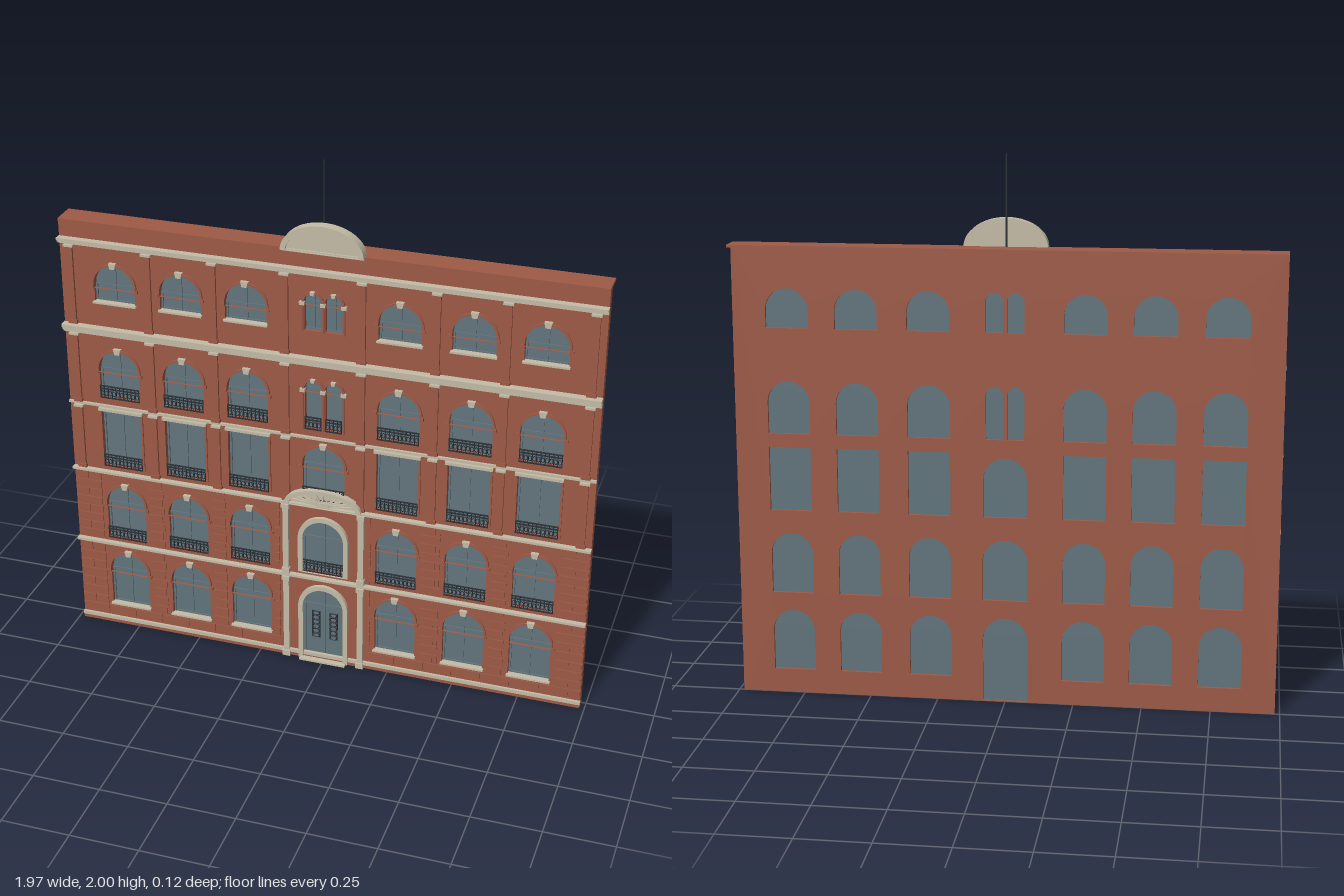
import * as THREE from 'three';
import { mergeGeometries } from 'three/addons/utils/BufferGeometryUtils.js';

const mat = (name, color) => {
  const m = new THREE.MeshStandardMaterial({ color });
  m.name = name;
  return m;
};

export function createModel() {
  const brick = mat('brick', 0x9e5a46), stone = mat('stone', 0xc4bca6);
  const glass = mat('glass', 0x62757d), iron = mat('iron', 0x2a3036);
  const model = new THREE.Group();
  const F = 0.03; // front face of the wall

  const add = (name, geo, material) => {
    const m = new THREE.Mesh(geo, material);
    m.name = name;
    model.add(m);
    return m;
  };
  // box from its x centre, width and y / z limits
  const box = (x, w, y0, y1, z0, z1) =>
    new THREE.BoxGeometry(w, y1 - y0, z1 - z0).translate(x, (y0 + y1) / 2, (z0 + z1) / 2);
  const extrude = (shape, z0, z1) =>
    new THREE.ExtrudeGeometry(shape, { depth: z1 - z0, bevelEnabled: false, curveSegments: 14 }).translate(0, 0, z0);
  // window outline, round-headed or square
  const outline = (Type, { x, w, y0, y1, arch }, g = 0) => {
    const s = new Type(), h = w / 2 + g;
    s.moveTo(x - h, y0);
    s.lineTo(x + h, y0);
    if (arch) {
      s.lineTo(x + h, y1 - w / 2);
      s.absarc(x, y1 - w / 2, h, 0, Math.PI, false);
    } else {
      s.lineTo(x + h, y1 + g);
      s.lineTo(x - h, y1 + g);
    }
    s.closePath();
    return s;
  };
  const halfEllipse = (Type, y, rx, ry) => {
    const s = new Type();
    s.moveTo(-rx, y);
    s.lineTo(rx, y);
    s.absellipse(0, y, rx, ry, 0, Math.PI, false, 0);
    s.closePath();
    return s;
  };

  // Window layout: five storeys, six side columns and a central bay
  const columns = [-0.78, -0.53, -0.285, 0.275, 0.535, 0.785];
  const rows = [
    { y0: 0.09, y1: 0.32, arch: true, sill: true },
    { y0: 0.387, y1: 0.615, arch: true, rail: true },
    { y0: 0.7, y1: 0.937, arch: false, rail: true },
    { y0: 0.987, y1: 1.18, arch: true, rail: true },
    { y0: 1.374, y1: 1.517, arch: true, sill: true },
  ];
  const windows = [];
  for (const r of rows) for (const x of columns) windows.push({ ...r, x, w: 0.154 });
  windows.push({ x: 0, w: 0.164, y0: 0.002, y1: 0.32, arch: true, grand: true, door: true });
  windows.push({ x: 0, w: 0.164, y0: 0.387, y1: 0.615, arch: true, grand: true, rail: true });
  windows.push({ x: 0, w: 0.158, y0: 0.7, y1: 0.92, arch: true, rail: true });
  for (const r of [rows[3], rows[4]]) for (const s of [-1, 1])
    windows.push({ x: s * 0.038, w: 0.062, y0: r.y0, y1: r.y1, arch: true, twin: true, rail: r.rail });

  // Wall with window openings, and the roof edge behind it
  const wall = new THREE.Shape([[-0.982, 0], [0.982, 0], [0.982, 1.672], [-0.982, 1.672]].map(p => new THREE.Vector2(...p)));
  for (const w of windows) wall.holes.push(outline(THREE.Path, w));
  add('wall', extrude(wall, -0.003, F), brick);
  add('roofEdge', box(0, 1.964, 1.667, 1.677, -0.06, 0.034), brick);

  // Wrought iron balcony railing
  const railing = ({ x, w, y0 }) => {
    const parts = [0, 0.036, 0.047].map(d => box(x, w, y0 + d, y0 + d + 0.004, 0.033, 0.038));
    const n = Math.round(w / 0.0155);
    for (let i = 0; i <= n; i++) {
      const bx = x - w / 2 + 0.002 + (w - 0.004) * i / n;
      parts.push(box(bx, 0.003, y0, y0 + 0.05, 0.034, 0.037));
      if (i < n) parts.push(new THREE.TorusGeometry(0.0055, 0.001, 4, 8)
        .scale(1, 1.8, 1).translate(bx + (w - 0.004) / n / 2, y0 + 0.02, 0.0355));
    }
    add('railing', mergeGeometries(parts), iron);
  };

  // Window panes, glazing bars and trims
  for (const w of windows) {
    const { x, y0, y1 } = w, h = w.w / 2, spring = w.arch ? y1 - h : y1;
    add('windowPane', extrude(outline(THREE.Shape, w), 0.009, 0.012), glass);
    const bars = [box(x, 0.005, y0, y1 - 0.001, 0.011, 0.016), box(x, w.w, spring - 0.006, spring, 0.011, 0.016)];
    if (!w.twin) for (const s of [-1, 1]) bars.push(box(x + s * (h - 0.004), 0.007, y0, spring, 0.011, 0.018));
    if (!w.door) bars.push(box(x, w.w, y0, y0 + 0.006, 0.011, 0.017));
    add('glazingBars', mergeGeometries(bars), glass);

    if (w.arch) {
      // raised surround: full-height stone in the central bay, brick arch elsewhere
      const base = w.grand ? y0 : spring - 0.012;
      const ring = outline(THREE.Shape, { ...w, y0: base }, w.grand ? 0.014 : 0.008);
      const inner = new THREE.Path();
      const e = w.grand ? -0.004 : 0;
      inner.moveTo(x - h - e, base + 0.0005);
      inner.lineTo(x + h + e, base + 0.0005);
      inner.lineTo(x + h + e, spring);
      inner.absarc(x, spring, h + e, 0, Math.PI, false);
      inner.closePath();
      ring.holes.push(inner);
      add('archSurround', extrude(ring, F - 0.002, w.grand ? 0.045 : 0.037), w.grand ? stone : brick);
      const k = w.twin ? 0.6 : 1;
      const key = new THREE.Shape([[-0.009, -0.007], [0.009, -0.007], [0.014, 0.014], [-0.014, 0.014]]
        .map(p => new THREE.Vector2(x + p[0] * k, y1 + p[1] * k)));
      if (!w.grand) add('keystone', extrude(key, F - 0.002, 0.044), stone);
      if (!w.grand && !w.twin) for (const s of [-1, 1])
        add('impost', box(x + s * (h + 0.007), 0.013, spring - 0.016, spring - 0.004, F - 0.001, 0.039), brick);
    } else {
      add('lintel', box(x, 0.172, y1 - 0.003, y1 + 0.008, F - 0.002, 0.044), stone);
      for (const s of [-1, 1]) add('jamb', box(x + s * (h + 0.004), 0.008, y0, y1 - 0.003, F - 0.002, 0.036), brick);
    }
    if (w.sill) add('sill', box(x, 0.164, y0 - 0.006, y0 + 0.001, 0.012, 0.042), stone);
    if (w.rail) railing(w);
  }

  // Slim columns with capitals beside the twin windows
  for (const r of [rows[3], rows[4]]) for (const x of [-0.076, 0, 0.076]) {
    const top = r.y1 - 0.036;
    add('twinColumn', new THREE.CylinderGeometry(0.005, 0.005, top - r.y0, 8).translate(x, (top + r.y0) / 2, 0.035), brick);
    add('twinCapital', box(x, 0.019, top - 0.008, top + 0.004, F - 0.002, 0.043), stone);
  }

  // Staggered raised masonry on the two lower storeys
  const blocks = [];
  for (const [from, to] of [[0.035, 0.352], [0.374, 0.664]]) {
    const n = 8, step = (to - from) / n;
    for (let i = 0; i < n; i++) {
      const a = from + i * step + 0.003, b = from + (i + 1) * step - 0.003;
      const gaps = windows.filter(w => w.y0 < b && w.y1 + 0.016 > a && w.x !== 0).map(w => [w.x - 0.094, w.x + 0.094]);
      gaps.push([-0.168, 0.168]);
      gaps.sort((p, q) => p[0] - q[0]);
      let left = -0.982;
      for (const [g0, g1] of [...gaps, [0.982, 1]]) {
        for (let x0 = left, first = true; x0 < g0 - 0.01; first = false) {
          const x1 = Math.min(g0, x0 + (first && i % 2 ? 0.055 : 0.11));
          blocks.push(box((x0 + x1) / 2, x1 - x0 - 0.005, a, b, F - 0.001, 0.034));
          x0 = x1;
        }
        left = g1;
      }
    }
  }
  add('masonryBlocks', mergeGeometries(blocks), brick);

  // Horizontal bands and cornices: y limits and projection
  for (const [y0, y1, z] of [
    [0.014, 0.028, 0.04], [0.355, 0.362, 0.042], [0.362, 0.37, 0.05], [0.667, 0.673, 0.043], [0.673, 0.681, 0.051],
    [0.949, 0.958, 0.04], [1.243, 1.253, 0.044], [1.253, 1.264, 0.052], [1.264, 1.276, 0.06],
    [1.588, 1.595, 0.044], [1.595, 1.602, 0.05], [1.602, 1.611, 0.056],
  ]) add('cornice', box(0, 1.966, y0, y1, F - 0.002, z), stone);
  add('plinth', box(0, 1.964, 0, 0.014, F - 0.002, 0.038), brick);

  // Brick pilasters with bases and capitals
  for (const x of [-0.946, -0.652, -0.407, -0.141, 0.139, 0.403, 0.648, 0.944])
    for (const [y0, y1] of [[0.681, 0.949], [0.958, 1.243], [1.276, 1.588]]) {
      add('pilaster', box(x, 0.027, y0, y1 - 0.012, F - 0.002, 0.039), brick);
      add('pilasterBase', box(x, 0.034, y0, y0 + 0.014, F - 0.002, 0.042), brick);
      add('pilasterCapital', box(x, 0.036, y1 - 0.013, y1 - 0.005, F - 0.002, 0.044), stone);
    }

  // Entrance bay: stone pilasters, step and door grilles
  for (const s of [-1, 1]) {
    for (const [y0, y1] of [[0, 0.355], [0.37, 0.667]]) {
      add('entrancePilaster', box(s * 0.144, 0.022, y0, y1, F - 0.002, 0.043), stone);
      add('entrancePilasterBase', box(s * 0.144, 0.029, y0, y0 + 0.022, F - 0.002, 0.049), stone);
      add('entrancePilasterCapital', box(s * 0.144, 0.029, y1 - 0.016, y1, F - 0.002, 0.049), stone);
    }
    const grille = [-0.014, 0.014].map(d => box(s * 0.034 + d, 0.003, 0.088, 0.205, 0.013, 0.019));
    for (let i = 0; i < 6; i++) grille.push(new THREE.TorusGeometry(0.01, 0.0022, 5, 12)
      .scale(1.4, 0.9, 1).translate(s * 0.034, 0.097 + i * 0.02, 0.018));
    add('doorGrille', mergeGeometries(grille), iron);
  }
  add('doorStep', box(0, 0.18, 0, 0.008, 0.012, 0.06), stone);

  // Fan pediment over the entrance
  add('fanPanel', extrude(halfEllipse(THREE.Shape, 0.675, 0.143, 0.068), F - 0.002, 0.038), stone);
  const fanRim = halfEllipse(THREE.Shape, 0.676, 0.147, 0.072);
  fanRim.holes.push(halfEllipse(THREE.Path, 0.6765, 0.128, 0.055));
  add('fanRim', extrude(fanRim, F, 0.055), stone);
  for (let i = 1; i < 12; i++) {
    const a = Math.PI * i / 12, ex = 0.13 * Math.cos(a), ey = 0.058 * Math.sin(a), len = Math.hypot(ex, ey);
    const rib = add('fanRib', new THREE.BoxGeometry(len, 0.005, 0.01), stone);
    rib.position.set(ex / 2, 0.68 + ey / 2, 0.041);
    rib.rotation.z = Math.atan2(ey, ex);
  }
  add('fanHub', extrude(halfEllipse(THREE.Shape, 0.68, 0.026, 0.018), F, 0.05), stone);

  // Rooftop pediment and flagpole
  add('crestPanel', extrude(halfEllipse(THREE.Shape, 1.676, 0.142, 0.094), 0.018, 0.044), stone);
  const crestRim = halfEllipse(THREE.Shape, 1.676, 0.149, 0.101);
  crestRim.holes.push(halfEllipse(THREE.Path, 1.6765, 0.13, 0.084));
  add('crestRim', extrude(crestRim, 0.016, 0.054), stone);
  add('crestFoot', box(0, 0.298, 1.672, 1.681, 0.018, 0.05), stone);
  add('flagpole', new THREE.CylinderGeometry(0.003, 0.003, 0.33, 8).translate(-0.003, 1.835, 0.014), iron);

  return model;
}
